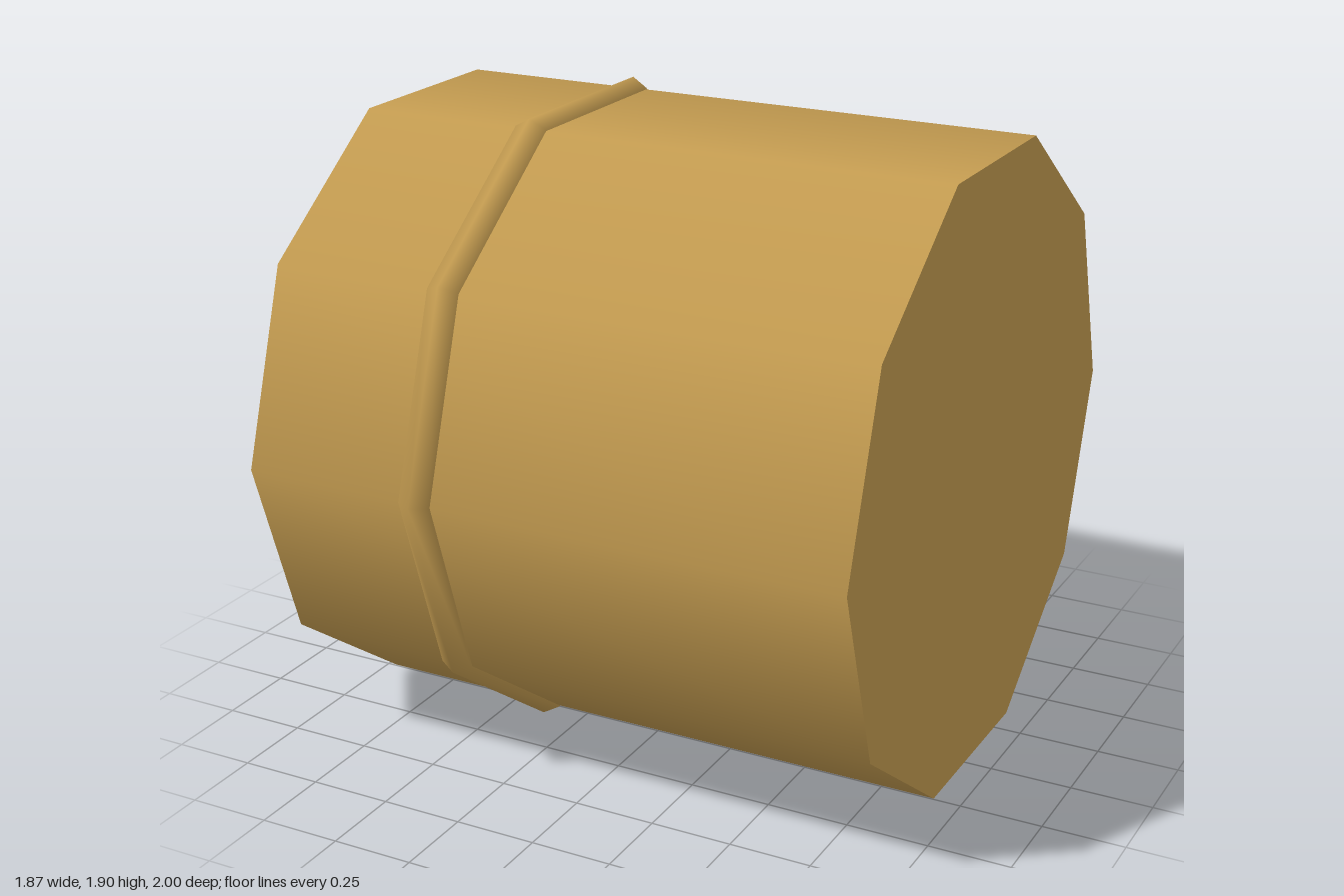
import * as THREE from 'three';

export function createModel() {
  const group = new THREE.Group();
  const material = new THREE.MeshStandardMaterial({ color: 0xc39b50 });
  const sides = 10;
  const centreY = 0.951;

  // Ten-sided drum lying along x, smooth around, flat closed ends
  const drumGeometry = new THREE.CylinderGeometry(0.966, 0.966, 1.87, sides);
  drumGeometry.rotateZ(Math.PI / 2);
  const drum = new THREE.Mesh(drumGeometry, material);
  drum.name = 'drum';
  drum.position.y = centreY;
  group.add(drum);

  // Raised band with a six-sided section, corners aligned with the drum
  const bandGeometry = new THREE.TorusGeometry(0.942, 0.058, 6, sides);
  bandGeometry.rotateY(Math.PI / 2);
  const band = new THREE.Mesh(bandGeometry, material);
  band.name = 'band';
  band.position.set(-0.375, centreY, 0);
  group.add(band);

  return group;
}
